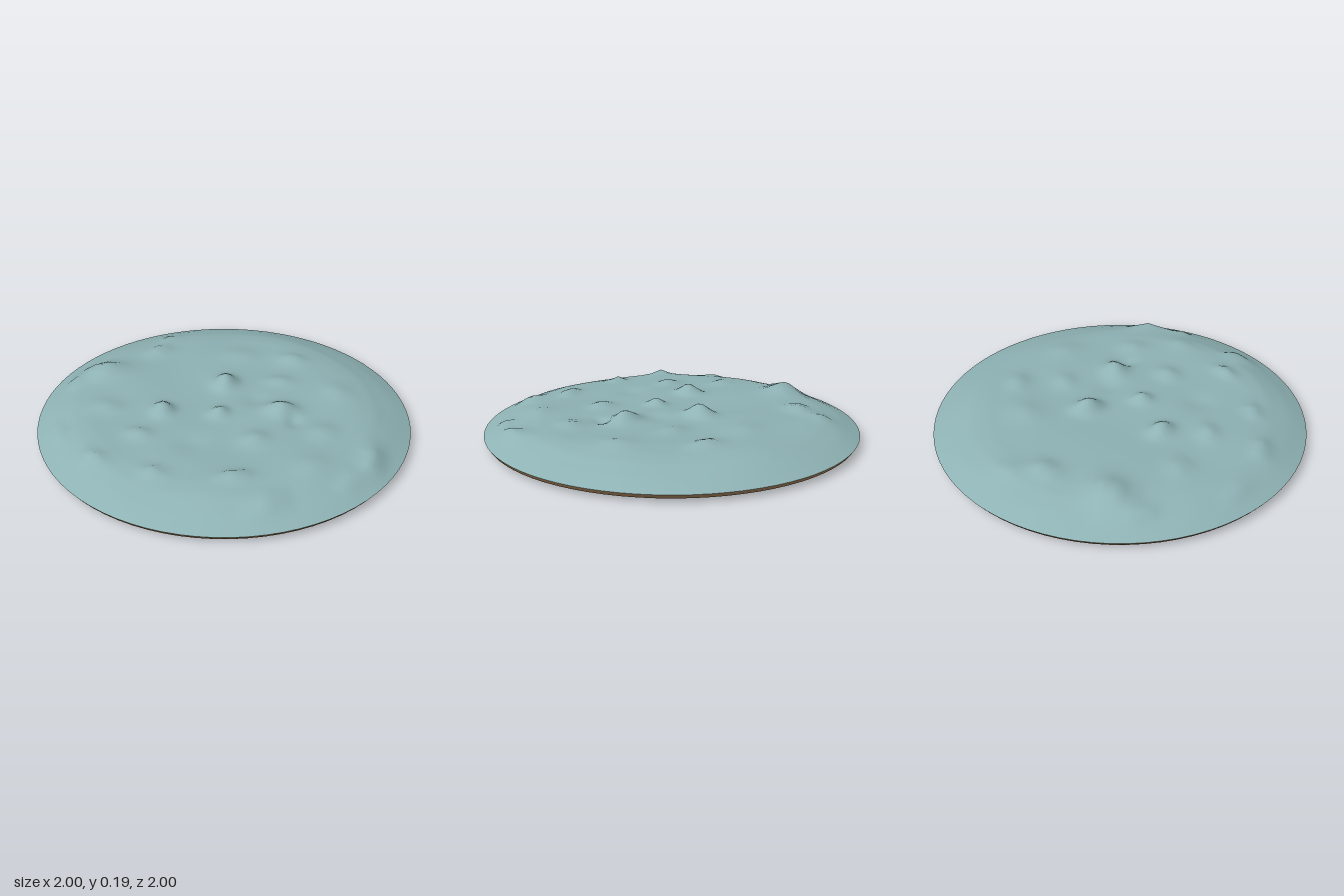
import * as THREE from 'three';

const SEGMENTS = 80;

// piecewise-linear lookup through [radius, height] pairs
function lookup(pairs, r) {
  for (let i = 1; i < pairs.length; i++) {
    const [r0, y0] = pairs[i - 1], [r1, y1] = pairs[i];
    if (r <= r1) return y0 + (y1 - y0) * (r - r0) / (r1 - r0);
  }
  return pairs[pairs.length - 1][1];
}

const domeProfile = [[0, 0.128], [0.6, 0.126], [0.72, 0.123], [0.8, 0.113], [0.9, 0.082], [1, 0.042]];
const baseProfile = [[0, 0.004], [0.6, 0.005], [0.8, 0.009], [0.92, 0.014], [0.985, 0.02], [1, 0.042]];

// hills: x, z, height, x width, z width
const hills = [
  [-0.71, -0.3, 0.055, 0.13, 0.08], [-0.85, -0.2, 0.03, 0.05, 0.05], [-0.41, -0.54, 0.032, 0.07, 0.06],
  [-0.36, -0.7, 0.02, 0.06, 0.07], [0.0, -0.18, 0.06, 0.06, 0.07], [-0.32, 0.11, 0.056, 0.05, 0.06],
  [0.31, 0.08, 0.052, 0.08, 0.06], [0.37, 0.17, -0.02, 0.04, 0.05], [-0.02, 0.12, 0.035, 0.05, 0.05],
  [-0.42, 0.33, 0.026, 0.06, 0.05], [-0.62, 0.53, 0.03, 0.05, 0.05], [-0.31, 0.64, 0.03, 0.04, 0.05],
  [0.08, 0.66, 0.032, 0.06, 0.04], [0.17, 0.35, 0.026, 0.07, 0.06], [0.52, 0.27, 0.022, 0.07, 0.06],
  [0.38, -0.47, 0.025, 0.07, 0.06], [0.08, -0.5, 0.016, 0.1, 0.08], [0.62, -0.12, 0.016, 0.07, 0.08],
  [0.3, -0.22, 0.02, 0.08, 0.06], [-0.62, 0.08, 0.022, 0.08, 0.05], [-0.85, 0.3, 0.022, 0.05, 0.06],
  [0.76, 0.48, 0.045, 0.06, 0.1], [0.65, 0.62, 0.03, 0.06, 0.06], [0.24, 0.83, 0.035, 0.05, 0.07],
  [0.45, 0.55, 0.016, 0.08, 0.06], [0.17, -0.02, -0.012, 0.07, 0.08], [-0.15, 0.4, -0.012, 0.08, 0.08],
];

function topHeight(x, z) {
  const r = Math.hypot(x, z);
  let y = lookup(domeProfile, r);
  const fade = Math.min(1, Math.max(0, (1 - r) / 0.12));
  for (const [hx, hz, h, wx, wz] of hills) {
    y += fade * h * Math.exp(-(((x - hx) / wx) ** 2) - ((z - hz) / wz) ** 2);
  }
  // faint rolling between the hills
  return y + fade * 0.005 * Math.sin(9 * x + 2 * z) * Math.cos(8 * z - 3 * x);
}

const bottomHeight = (x, z) => lookup(baseProfile, Math.hypot(x, z));

// surface of rings running from a centre point to a closed outline
function radialSurface(center, outline, radii, height, faceUp) {
  const n = outline.length, positions = [], index = [];
  const add = (x, z) => positions.push(x, height(x, z), z);
  const tri = (a, b, c) => (faceUp ? index.push(a, b, c) : index.push(a, c, b));
  add(center.x, center.y);
  radii.forEach((t, ring) => {
    for (let i = 0; i < n; i++) {
      const p = center.clone().lerp(outline[i], t);
      add(p.x, p.y);
      const j = (i + 1) % n, a = 1 + ring * n;
      if (ring === 0) tri(0, a + j, a + i);
      else {
        tri(a - n + i, a + j, a + i);
        tri(a - n + i, a - n + j, a + j);
      }
    }
  });
  const geometry = new THREE.BufferGeometry();
  geometry.setAttribute('position', new THREE.Float32BufferAttribute(positions, 3));
  geometry.setIndex(index);
  geometry.computeVertexNormals();
  return geometry;
}

const evenRings = (count) => Array.from({ length: count }, (_, i) => (i + 1) / count);

export function createModel() {
  const group = new THREE.Group();
  const material = (name, color) => {
    const m = new THREE.MeshStandardMaterial({ color });
    m.name = name;
    return m;
  };
  const teal = material('dusty teal', 0x8fb3b5);
  const tan = material('tan', 0xc0986c);
  const grey = material('warm grey', 0x9c8c84);
  const addPart = (name, geometry, mat) => {
    const mesh = new THREE.Mesh(geometry, mat);
    mesh.name = name;
    group.add(mesh);
  };

  const origin = new THREE.Vector2(0, 0);
  const circle = Array.from({ length: SEGMENTS }, (_, i) => {
    const a = (i / SEGMENTS) * Math.PI * 2;
    return new THREE.Vector2(Math.cos(a), Math.sin(a));
  });

  // hilly upper surface and shallow underside
  addPart('terrain', radialSurface(origin, circle, evenRings(42), topHeight, true), teal);
  const baseRings = [0.3, 0.6, 0.8, 0.92, 0.985, 1];
  addPart('underside', radialSurface(origin, circle, baseRings, bottomHeight, false), tan);

  // curved patch below, with a border around it
  const points = [
    [0.34, 0.78], [0.54, 0.45], [0.54, 0.18], [0.43, -0.01], [0.18, -0.14], [-0.04, -0.29], [-0.3, -0.31],
    [-0.6, -0.17], [-0.76, 0], [-0.84, 0.23], [-0.74, 0.49], [-0.54, 0.78], [-0.3, 0.91], [0.03, 0.93],
  ];
  const curve = new THREE.CatmullRomCurve3(points.map(([x, z]) => new THREE.Vector3(x, 0, z)), true);
  const center = new THREE.Vector2(-0.15, 0.32);
  const outer = curve.getPoints(72).slice(0, 72).map((p) => new THREE.Vector2(p.x, p.z)).reverse();
  // wind the outline the same way as the circle
  if (THREE.ShapeUtils.area(outer) < 0) outer.reverse();
  const inner = outer.map((p) => center.clone().lerp(p, 0.89));
  const below = (gap) => (x, z) => bottomHeight(x, z) - gap;
  addPart('patchBorder', radialSurface(center, outer, evenRings(12), below(0.002), false), grey);
  addPart('patch', radialSurface(center, inner, evenRings(12), below(0.004), false), teal);

  return group;
}
